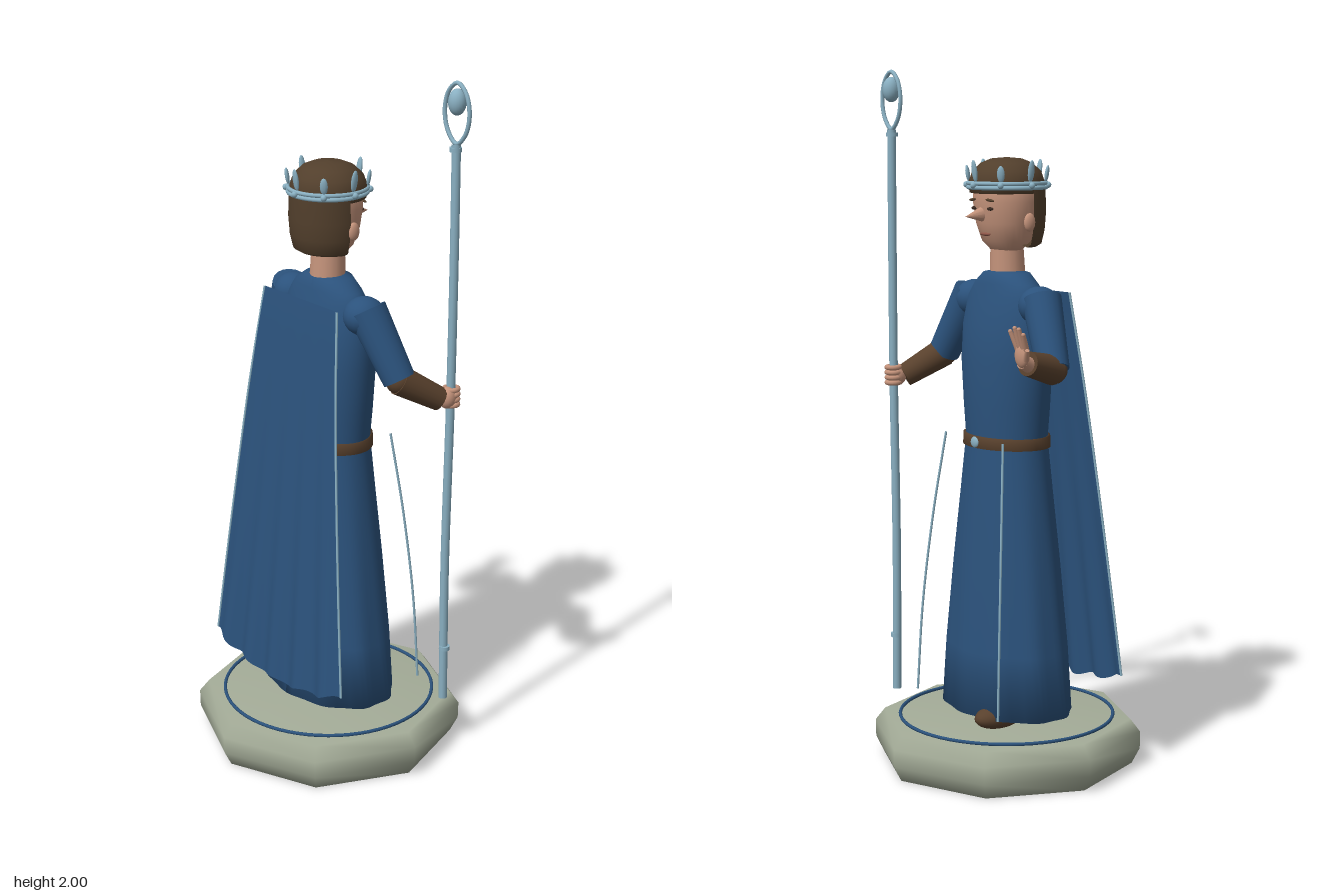
import * as THREE from 'three';

const V = (x, y, z) => new THREE.Vector3(x, y, z);
const mat = (name, color) => {
  const m = new THREE.MeshStandardMaterial({ color });
  m.name = name;
  return m;
};

export function createModel() {
  const model = new THREE.Group();
  const blue = mat('blue cloth', 0x2b527c);
  const capeBlue = mat('cape cloth', 0x2b527c);
  capeBlue.side = THREE.DoubleSide;
  const stone = mat('stone', 0xa4ac98);
  const hair = mat('brown hair', 0x523f2c);
  hair.side = THREE.DoubleSide;
  const leather = mat('brown leather', 0x59412d);
  const skin = mat('skin', 0xc4937b);
  const silver = mat('pale silver', 0x8ab0c2);
  const dark = mat('dark features', 0x3a2a22);
  const lip = mat('lips', 0x8d5548);

  const add = (name, geo, material, pos, parent = model) => {
    const m = new THREE.Mesh(geo, material);
    m.name = name;
    if (pos) m.position.copy(pos);
    parent.add(m);
    return m;
  };
  const ball = (name, material, pos, rx, ry, rz) => {
    const m = add(name, new THREE.SphereGeometry(1, 20, 14), material, pos);
    m.scale.set(rx, ry, rz);
    return m;
  };
  // Tapered cylinder between two points
  const limb = (name, material, a, b, ra, rb, sides = 18) => {
    const d = b.clone().sub(a);
    const m = add(name, new THREE.CylinderGeometry(rb, ra, d.length(), sides), material, a.clone().lerp(b, 0.5));
    m.quaternion.setFromUnitVectors(V(0, 1, 0), d.normalize());
    return m;
  };
  const tube = (name, material, points, r, closed = false, sides = 8) =>
    add(name, new THREE.TubeGeometry(new THREE.CatmullRomCurve3(points, closed), 48, r, sides, closed), material);
  const lathe = (profile, n, start, length) =>
    new THREE.LatheGeometry(profile.map(([r, y]) => new THREE.Vector2(r, y)), n, start, length);
  // Elliptical cross-sections [y, rx, rz, fold depth] joined bottom to top
  const loft = (sections, n = 60) => {
    const pos = [], index = [];
    sections.forEach(([y, rx, rz, fold = 0], j) => {
      for (let i = 0; i <= n; i++) {
        const a = (i / n) * Math.PI * 2, k = 1 + fold * Math.cos(a * 10);
        pos.push(Math.sin(a) * rx * k, y, Math.cos(a) * rz * k);
        if (j && i < n) {
          const p = (j - 1) * (n + 1) + i, q = p + n + 1;
          index.push(p, p + 1, q, p + 1, q + 1, q);
        }
      }
    });
    const g = new THREE.BufferGeometry();
    g.setAttribute('position', new THREE.Float32BufferAttribute(pos, 3));
    g.setIndex(index);
    g.computeVertexNormals();
    return g;
  };

  // Eight-sided plinth with an inlaid ring
  add('plinth', lathe([[0, 0], [0.37, 0], [0.393, 0.045], [0.394, 0.095], [0.365, 0.132], [0, 0.138]], 8), stone);
  add('plinthRing', new THREE.TorusGeometry(0.312, 0.005, 8, 64), blue, V(0, 0.138, 0)).rotation.x = Math.PI / 2;

  // Boots
  ball('rightBoot', leather, V(-0.093, 0.165, -0.095), 0.045, 0.035, 0.08);
  ball('leftBoot', leather, V(0.08, 0.165, -0.055), 0.048, 0.03, 0.08);

  // Robe
  add('skirt', loft([[0.165, 0, 0], [0.165, 0.23, 0.16, 0.02], [0.35, 0.215, 0.152, 0.014],
    [0.6, 0.184, 0.135, 0.008], [0.8, 0.158, 0.118, 0.003], [0.95, 0.14, 0.105]]), blue);
  add('torso', loft([[0.94, 0.138, 0.102], [1.05, 0.15, 0.107], [1.18, 0.164, 0.108], [1.28, 0.167, 0.097],
    [1.36, 0.155, 0.077], [1.4, 0.125, 0.066], [1.43, 0.08, 0.058], [1.437, 0.04, 0.04]]), blue);
  add('belt', loft([[0.935, 0.138, 0.102], [0.935, 0.147, 0.113], [0.968, 0.146, 0.112], [0.968, 0.136, 0.1]]), leather);
  ball('buckle', silver, V(0, 0.951, -0.112), 0.018, 0.016, 0.007);

  // Cape: a sheet that widens, swings back and folds towards the hem
  const capePoint = (u, t) => {
    const hem = 0.235 + 0.045 * u * u + 0.006 * Math.cos(u * 14);
    const wave = 0.009 * Math.cos(u * 16) * t * t - 0.012 * u * u * t;
    return V(u * (0.16 + 0.132 * t), 1.378 + (hem - 1.378) * t, 0.102 + 0.113 * Math.pow(t, 0.85) + wave);
  };
  const cape = new THREE.PlaneGeometry(2, 1, 60, 24);
  const cp = cape.attributes.position;
  for (let i = 0; i < cp.count; i++) {
    const p = capePoint(cp.getX(i), 0.5 - cp.getY(i));
    cp.setXYZ(i, p.x, p.y, p.z);
  }
  cape.computeVertexNormals();
  add('cape', cape, capeBlue);

  for (const s of [-1, 1]) {
    const side = s > 0 ? 'left' : 'right';
    // Trim on the cape edge and the free-hanging front cord
    tube(side + 'CapeTrim', silver, [0, 0.25, 0.5, 0.75, 1].map(t => capePoint(s, t)), 0.0035);
    tube(side + 'FrontCord', silver, [V(s * 0.14, 0.965, -0.115), V(s * 0.17, 0.72, -0.142),
      V(s * 0.193, 0.45, -0.165), V(s * 0.203, 0.19, -0.178)], 0.0035);
    // Arms
    const elbow = V(s * 0.265, 1.18, -0.035);
    const wrist = s > 0 ? V(0.312, 1.112, -0.145) : V(-0.29, 1.207, -0.14);
    ball(side + 'Shoulder', blue, V(s * 0.155, 1.345, 0), 0.06, 0.055, 0.06);
    limb(side + 'Sleeve', blue, V(s * 0.165, 1.365, 0), elbow, 0.056, 0.046);
    ball(side + 'Elbow', leather, elbow, 0.04, 0.04, 0.04);
    limb(side + 'Bracer', leather, elbow, wrist, 0.043, 0.034);
    // Ears
    ball(side + 'Ear', skin, V(s * 0.109, 1.575, 0.0), 0.011, 0.026, 0.018);
    // Eyes and brows
    ball(side + 'Eye', dark, V(s * 0.038, 1.612, -0.0845), 0.014, 0.005, 0.005);
    ball(side + 'Brow', hair, V(s * 0.04, 1.636, -0.087), 0.02, 0.004, 0.005).rotation.z = s * -0.1;
  }

  // Left hand gripping the staff
  ball('leftPalm', skin, V(0.322, 1.115, -0.163), 0.026, 0.032, 0.026);
  for (let i = 0; i < 4; i++) {
    add('leftFinger', new THREE.TorusGeometry(0.019, 0.0075, 8, 18), skin, V(0.322, 1.093 + i * 0.015, -0.178))
      .rotation.x = Math.PI / 2;
  }
  // Right hand raised with spread fingers
  limb('rightWrist', skin, V(-0.29, 1.2, -0.13), V(-0.297, 1.215, -0.163), 0.022, 0.02);
  ball('rightPalm', skin, V(-0.299, 1.232, -0.167), 0.027, 0.034, 0.014);
  [[-0.022, -0.034, 0.045], [-0.009, -0.014, 0.058], [0.005, 0.005, 0.06], [0.018, 0.025, 0.05]].forEach(([a, b, h]) => {
    const tip = V(-0.3 + b, 1.247 + h, -0.188);
    limb('rightFinger', skin, V(-0.3 + a, 1.247, -0.168), tip, 0.008, 0.006, 10);
    ball('rightFingertip', skin, tip, 0.006, 0.006, 0.006);
  });
  limb('rightThumb', skin, V(-0.318, 1.222, -0.167), V(-0.338, 1.25, -0.178), 0.009, 0.006, 10);

  // Neck and head
  limb('neck', skin, V(0, 1.41, 0.004), V(0, 1.53, 0), 0.051, 0.046);
  const head = add('head', lathe([[0, 1.487], [0.045, 1.492], [0.073, 1.52], [0.091, 1.57],
    [0.1, 1.63], [0.098, 1.68], [0.07, 1.72], [0, 1.735]], 32), skin);
  head.scale.z = 0.93;
  const nose = add('nose', new THREE.ConeGeometry(0.026, 0.07, 12), skin, V(0, 1.594, -0.108));
  nose.rotation.x = -Math.PI / 2 - 0.1;
  nose.scale.x = 0.75;
  ball('mouth', lip, V(0, 1.54, -0.0735), 0.024, 0.005, 0.006);

  // Hair: a full cap and a bob around the back
  add('hairCap', lathe([[0.09, 1.652], [0.108, 1.655], [0.111, 1.685], [0.1, 1.715], [0.075, 1.738],
    [0.045, 1.75], [0, 1.754]], 36), hair).scale.z = 0.96;
  add('hairBob', lathe([[0.045, 1.515], [0.085, 1.503], [0.1, 1.512], [0.109, 1.55], [0.113, 1.6], [0.111, 1.68]],
    28, -1.45, 2.9), hair).scale.z = 0.98;

  // Crown with eight leaf points
  const crown = new THREE.Group();
  crown.name = 'crown';
  model.add(crown);
  for (const y of [1.67, 1.682]) {
    add('crownBand', new THREE.TorusGeometry(0.111, 0.006, 8, 48), silver, V(0, y, 0.002), crown).rotation.x = Math.PI / 2;
  }
  for (let i = 0; i < 8; i++) {
    const a = (i / 8) * Math.PI * 2, h = i % 2 ? 0.024 : 0.032;
    const leaf = add('crownLeaf', new THREE.SphereGeometry(1, 10, 8), silver,
      V(Math.sin(a) * 0.113, 1.684 + h, Math.cos(a) * 0.113 + 0.002), crown);
    leaf.scale.set(0.011, h, 0.006);
    leaf.rotation.set(0.15, a, 0, 'YXZ');
    add('crownStud', new THREE.SphereGeometry(0.009, 10, 8), silver,
      V(Math.sin(a) * 0.117, 1.677, Math.cos(a) * 0.117 + 0.002), crown);
  }

  // Staff with a pointed loop around an orb
  tube('staffShaft', silver, [V(0.316, 0.165, -0.178), V(0.313, 0.6, -0.177), V(0.32, 1.1, -0.178),
    V(0.324, 1.5, -0.176), V(0.32, 1.83, -0.178)], 0.0125, false, 10);
  for (const [y, r] of [[0.33, 0.016], [1.815, 0.017]]) {
    limb('staffCollar', silver, V(0.318, y - 0.006, -0.178), V(0.318, y + 0.006, -0.178), r, r);
  }
  tube('staffLoop', silver, [[0, 1.83], [-0.035, 1.862], [-0.048, 1.915], [-0.034, 1.968], [0, 1.994],
    [0.034, 1.968], [0.048, 1.915], [0.035, 1.862]].map(([x, y]) => V(0.32 + x, y, -0.178)), 0.006, true);
  ball('staffOrb', silver, V(0.32, 1.943, -0.178), 0.025, 0.036, 0.025);

  return model;
}
